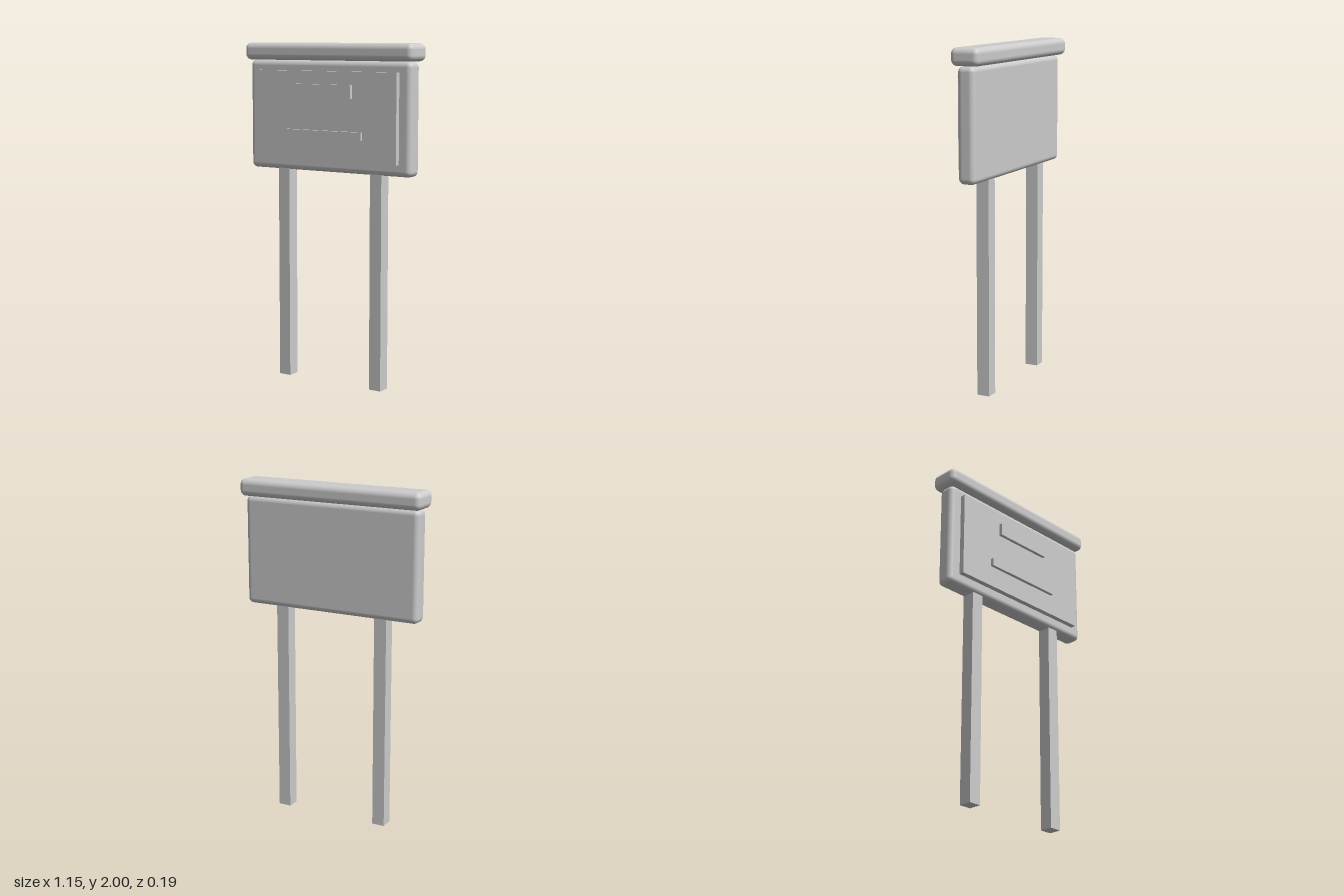
import * as THREE from 'three';
import { RoundedBoxGeometry } from 'three/addons/geometries/RoundedBoxGeometry.js';

export function createModel() {
  const model = new THREE.Group();
  model.name = 'signBoard';
  const grey = new THREE.MeshStandardMaterial({ color: 0xcccccc });
  grey.name = 'plain grey';

  // Box spanning x0..x1, y0..y1, z0..z1, with rounded edges when radius is given
  function block(name, [x0, x1], [y0, y1], [z0, z1], radius = 0) {
    const size = [x1 - x0, y1 - y0, z1 - z0];
    const geometry = radius
      ? new RoundedBoxGeometry(...size, 5, radius)
      : new THREE.BoxGeometry(...size);
    const mesh = new THREE.Mesh(geometry, grey);
    mesh.name = name;
    mesh.position.set((x0 + x1) / 2, (y0 + y1) / 2, (z0 + z1) / 2);
    model.add(mesh);
  }

  // Two square posts
  for (const [name, x] of [['rightPost', -0.32], ['leftPost', 0.32]]) {
    block(name, [x - 0.038, x + 0.038], [0, 1.27], [-0.045, 0.032]);
  }

  // Rounded backing board and overhanging cap
  block('board', [-0.555, 0.555], [1.257, 1.9], [-0.06, 0.046], 0.032);
  block('cap', [-0.577, 0.577], [1.9, 2], [-0.098, 0.077], 0.034);

  // Raised notice panel with two bars
  block('panel', [-0.48, 0.48], [1.325, 1.84], [0.04, 0.077]);
  block('upperBar', [-0.188, 0.188], [1.687, 1.765], [0.07, 0.097]);
  block('lowerBar', [-0.258, 0.258], [1.453, 1.501], [0.07, 0.097]);

  return model;
}
